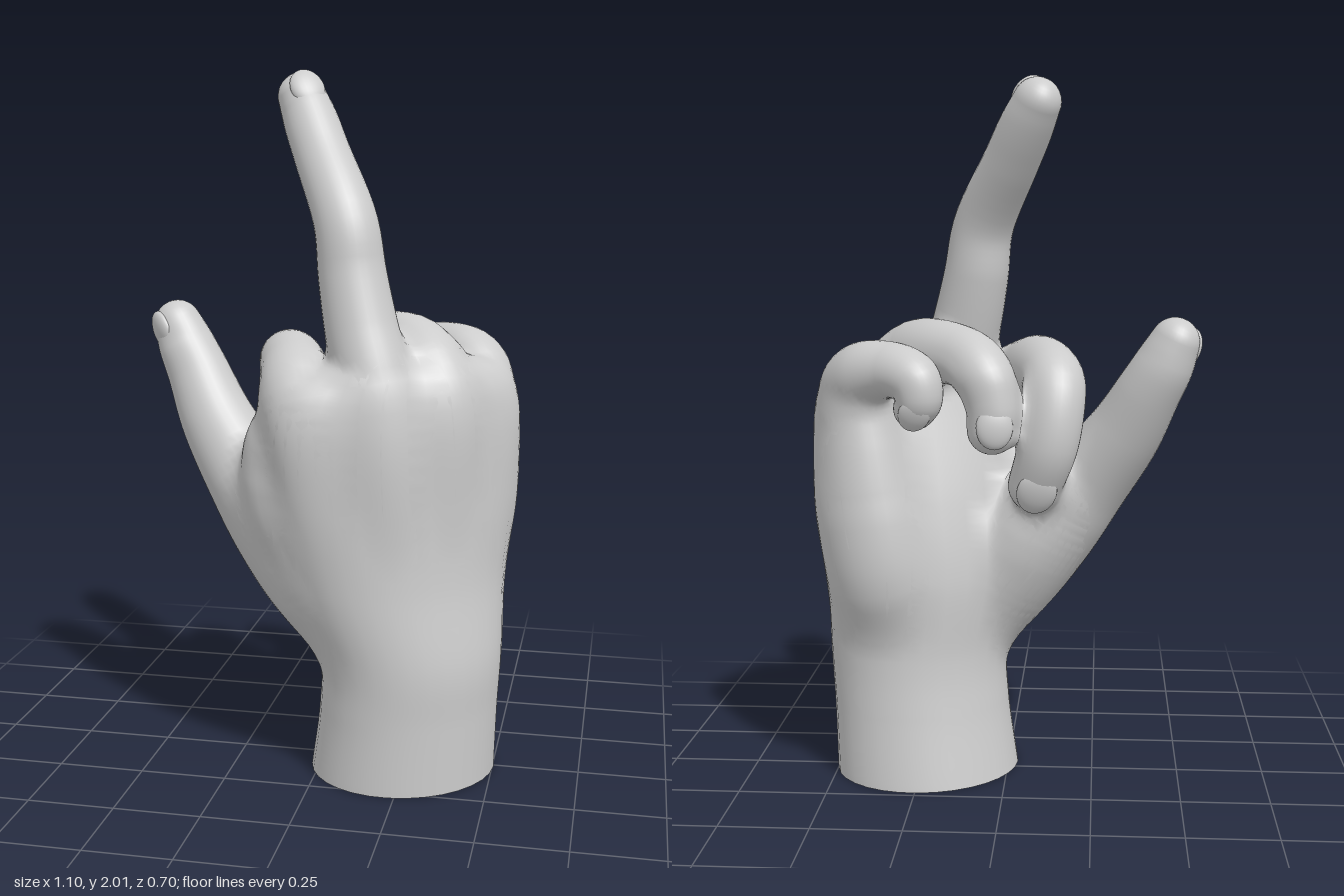
import * as THREE from 'three';

const SIDES = 32;
const ANGLE = 0.61; // the hand is turned about the vertical axis
const U = new THREE.Vector3(Math.cos(ANGLE), 0, -Math.sin(ANGLE)); // across the hand
const N = new THREE.Vector3(Math.sin(ANGLE), 0, Math.cos(ANGLE)); // out of its back

// Wrist and palm sections: height, centre across, centre depth, half width, half depth
const PALM = [
  [0, 0.18, 0.157, 0.274, 0.25], [0.2, 0.187, 0.178, 0.266, 0.232],
  [0.37, 0.186, 0.189, 0.274, 0.224], [0.6, 0.158, 0.17, 0.325, 0.212],
  [0.82, 0.15, 0.183, 0.364, 0.19], [1.06, 0.137, 0.217, 0.354, 0.155],
  [1.18, 0.137, 0.225, 0.29, 0.12], [1.24, 0.14, 0.22, 0.15, 0.05],
];

// Limbs as centre lines: x, y, z, radius
const LIMBS = {
  indexFinger: [
    [0.05, 0.55, 0.15, 0.07], [0.0, 0.9, 0.232, 0.088], [-0.03, 1.11, 0.222, 0.105],
    [-0.075, 1.18, 0.09, 0.096], [-0.12, 1.185, -0.05, 0.087], [-0.14, 1.14, -0.135, 0.087],
    [-0.125, 1.0, -0.163, 0.084], [-0.085, 0.872, -0.125, 0.076],
  ],
  middleFinger: [
    [0.2, 0.55, 0.14, 0.07], [0.2, 0.9, 0.205, 0.095], [0.18, 1.12, 0.197, 0.108],
    [0.132, 1.3, 0.16, 0.102], [0.1, 1.45, 0.133, 0.095], [0.075, 1.6, 0.112, 0.088],
    [-0.008, 1.77, 0.016, 0.08], [-0.051, 1.86, -0.034, 0.077], [-0.086, 1.932, -0.07, 0.068],
  ],
  ringFinger: [
    [0.3, 0.55, 0.07, 0.07], [0.335, 0.9, 0.11, 0.09], [0.335, 1.13, 0.1, 0.1],
    [0.26, 1.23, 0.01, 0.097], [0.13, 1.235, -0.11, 0.086], [0.06, 1.19, -0.18, 0.085],
    [0.03, 1.11, -0.205, 0.075], [0.03, 1.04, -0.21, 0.069],
  ],
  littleFinger: [
    [0.37, 0.55, -0.02, 0.07], [0.42, 0.9, -0.05, 0.09], [0.435, 1.1, -0.095, 0.095],
    [0.4, 1.18, -0.155, 0.092], [0.31, 1.205, -0.225, 0.078], [0.24, 1.185, -0.268, 0.073],
    [0.222, 1.135, -0.28, 0.065], [0.235, 1.105, -0.267, 0.059],
  ],
  thumb: [
    [0.11, 0.4, 0.1, 0.11], [-0.005, 0.57, 0.095, 0.147], [-0.122, 0.72, 0.07, 0.144],
    [-0.228, 0.86, 0.035, 0.126], [-0.33, 1.0, -0.02, 0.108], [-0.4, 1.13, -0.068, 0.092],
    [-0.443, 1.21, -0.09, 0.083], [-0.472, 1.275, -0.1, 0.069],
  ],
  thumbPad: [
    [0.1, 0.42, 0.08, 0.09], [-0.03, 0.66, 0.025, 0.13], [-0.12, 0.83, 0.01, 0.115],
  ],
  thumbWeb: [
    [0.05, 0.55, 0.14, 0.09], [-0.07, 0.78, 0.155, 0.12], [-0.095, 0.95, 0.165, 0.11], [-0.06, 1.08, 0.19, 0.08],
  ],
  heelPad: [
    [0.32, 0.36, 0.02, 0.1], [0.35, 0.6, -0.11, 0.145], [0.385, 0.85, -0.122, 0.135], [0.41, 1.06, -0.12, 0.1],
  ],
};

// Which way each nail faces
const NAILS = {
  indexFinger: [-0.1, -0.3, -1], middleFinger: [0.57, 0, 0.82], ringFinger: [-0.2, -0.1, -1],
  littleFinger: [-0.1, -0.2, -1], thumb: [-0.75, 0.1, 0.5],
};

const curve = (list) => new THREE.CatmullRomCurve3(list.map((p) => new THREE.Vector3(...p)), false, 'catmullrom');

// Samples along a limb, each with point, tangent and radius
function sampleLimb(points, count = 44) {
  const path = curve(points.map((p) => p.slice(0, 3)));
  const radii = curve(points.map((p) => [p[3], 0, 0]));
  return Array.from({ length: count + 1 }, (_, i) => ({
    p: path.getPoint(i / count), t: path.getTangent(i / count), r: radii.getPoint(i / count).x,
  }));
}

function samplePalm(count = 70) {
  const centres = curve(PALM.map(([y, u, n]) => [u, y, n]));
  const sizes = curve(PALM.map((s) => [s[3], s[4], 0]));
  return Array.from({ length: count + 1 }, (_, i) => {
    const c = centres.getPoint(i / count), s = sizes.getPoint(i / count);
    return { y: c.y, u: c.x, n: c.z, a: s.x, b: s.y };
  });
}

// Distance to one limb
function limbDistance(samples, x, y, z) {
  let best = Infinity;
  for (let i = 0; i < samples.length - 1; i++) {
    const a = samples[i].p, b = samples[i + 1].p;
    const dx = b.x - a.x, dy = b.y - a.y, dz = b.z - a.z;
    const px = x - a.x, py = y - a.y, pz = z - a.z;
    const t = Math.min(1, Math.max(0, (px * dx + py * dy + pz * dz) / (dx * dx + dy * dy + dz * dz)));
    const qx = px - dx * t, qy = py - dy * t, qz = pz - dz * t;
    const d = Math.sqrt(qx * qx + qy * qy + qz * qz) - samples[i].r * (1 - t) - samples[i + 1].r * t;
    if (d < best) best = d;
  }
  return best;
}

// Approximate distance to the palm, section by section
function palmDistance(rows, x, y, z) {
  const top = rows[rows.length - 1].y;
  const h = Math.min(top, Math.max(0, y));
  let i = 0;
  while (i < rows.length - 2 && rows[i + 1].y < h) i++;
  const A = rows[i], B = rows[i + 1], t = (h - A.y) / (B.y - A.y);
  const mix = (key) => A[key] + (B[key] - A[key]) * t;
  const a = mix('a'), b = mix('b');
  const u = x * U.x + z * U.z - mix('u'), n = x * N.x + z * N.z - mix('n');
  const k0 = Math.hypot(u / a, n / b), k1 = Math.hypot(u / (a * a), n / (b * b));
  const d = k1 < 1e-6 ? -b : (k0 * (k0 - 1)) / k1;
  return y > top ? Math.hypot(Math.max(d, 0), y - top) : d;
}

// Skin over rings of points
function loft(rings) {
  const pos = [], index = [];
  rings.forEach((ring) => ring.forEach((p) => pos.push(p.x, p.y, p.z)));
  for (let i = 0; i < rings.length - 1; i++) {
    for (let j = 0; j < SIDES; j++) {
      const k = (j + 1) % SIDES;
      const a = i * SIDES + j, b = i * SIDES + k, c = b + SIDES, d = a + SIDES;
      index.push(a, b, d, b, c, d);
    }
  }
  const geo = new THREE.BufferGeometry();
  geo.setAttribute('position', new THREE.Float32BufferAttribute(pos, 3));
  geo.setIndex(index);
  geo.computeVertexNormals();
  return geo;
}

const circle = (c, e1, e2, a, b) => Array.from({ length: SIDES }, (_, j) => {
  const w = (j / SIDES) * Math.PI * 2;
  return c.clone().addScaledVector(e1, a * Math.cos(w)).addScaledVector(e2, b * Math.sin(w));
});

function limbGeometry(samples) {
  const end = samples[samples.length - 1];
  const stations = samples.slice();
  for (let i = 1; i <= 8; i++) { // rounded tip
    const w = (i / 8) * Math.PI / 2;
    stations.push({ p: end.p.clone().addScaledVector(end.t, end.r * Math.sin(w)), t: end.t, r: Math.max(1e-4, end.r * Math.cos(w)) });
  }
  const side = N.clone();
  return loft(stations.map(({ p, t, r }) => {
    side.addScaledVector(t, -side.dot(t)).normalize();
    return circle(p, side, t.clone().cross(side), r, r);
  }));
}

function palmGeometry(rows) {
  const back = N.clone().negate();
  const ring = (s, k) => circle(new THREE.Vector3(0, s.y, 0).addScaledVector(U, s.u).addScaledVector(N, s.n), U, back, s.a * k, s.b * k);
  return loft([...rows.map((s) => ring(s, 1)), ring(rows[rows.length - 1], 0.001)]);
}

// Draw the vertices near a joint out to the blended skin and take its normals
function blend(geo, field) {
  const pos = geo.attributes.position, nor = geo.attributes.normal;
  const e = 0.006, v = new THREE.Vector3(), g = new THREE.Vector3();
  const gradient = (f) => g.set(field(v.x + e, v.y, v.z) - f, field(v.x, v.y + e, v.z) - f, field(v.x, v.y, v.z + e) - f).divideScalar(e);
  for (let i = 0; i < pos.count; i++) {
    v.fromBufferAttribute(pos, i);
    let f = field(v.x, v.y, v.z);
    if (f < -0.06 || v.y < 0.2) continue;
    for (let step = 0; step < 3; step++) {
      gradient(f);
      const move = -f / Math.max(0.3, g.lengthSq());
      v.addScaledVector(g, Math.max(-0.03, Math.min(0.03, move)));
      f = field(v.x, v.y, v.z);
    }
    gradient(f).normalize();
    pos.setXYZ(i, v.x, v.y, v.z);
    if (g.lengthSq() > 0.5) nor.setXYZ(i, g.x, g.y, g.z);
  }
  return geo;
}

// Thin domed nail lying on a fingertip
function nailGeometry({ p, t, r }, hint) {
  const out = new THREE.Vector3(...hint);
  out.addScaledVector(t, -out.dot(t)).normalize();
  const geo = new THREE.SphereGeometry(1, 24, 16).scale(r * 0.74, r * 0.88, r * 0.34);
  const centre = p.clone().addScaledVector(out, r * 0.78).addScaledVector(t, -r * 0.12);
  return geo.applyMatrix4(new THREE.Matrix4().makeBasis(t.clone().cross(out), t, out).setPosition(centre));
}

export function createModel() {
  const group = new THREE.Group();
  group.name = 'hand';
  const skin = new THREE.MeshStandardMaterial({ color: 0xcccccc, side: THREE.DoubleSide });
  const add = (name, geo) => {
    const mesh = new THREE.Mesh(geo, skin);
    mesh.name = name;
    group.add(mesh);
  };

  const rows = samplePalm();
  const limbs = Object.entries(LIMBS).map(([name, points]) => [name, sampleLimb(points)]);

  // Smooth union of palm and limbs
  const K = 0.05;
  const field = (x, y, z) => {
    let d = palmDistance(rows, x, y, z);
    for (const [, samples] of limbs) {
      const other = limbDistance(samples, x, y, z);
      const h = Math.max(K - Math.abs(d - other), 0);
      d = Math.min(d, other) - (h * h) / (4 * K);
    }
    return d;
  };

  add('palmAndWrist', blend(palmGeometry(rows), field));
  for (const [name, samples] of limbs) {
    add(name, blend(limbGeometry(samples), field));
    if (NAILS[name]) add(name + 'Nail', nailGeometry(samples[samples.length - 1], NAILS[name]));
  }
  return group;
}
